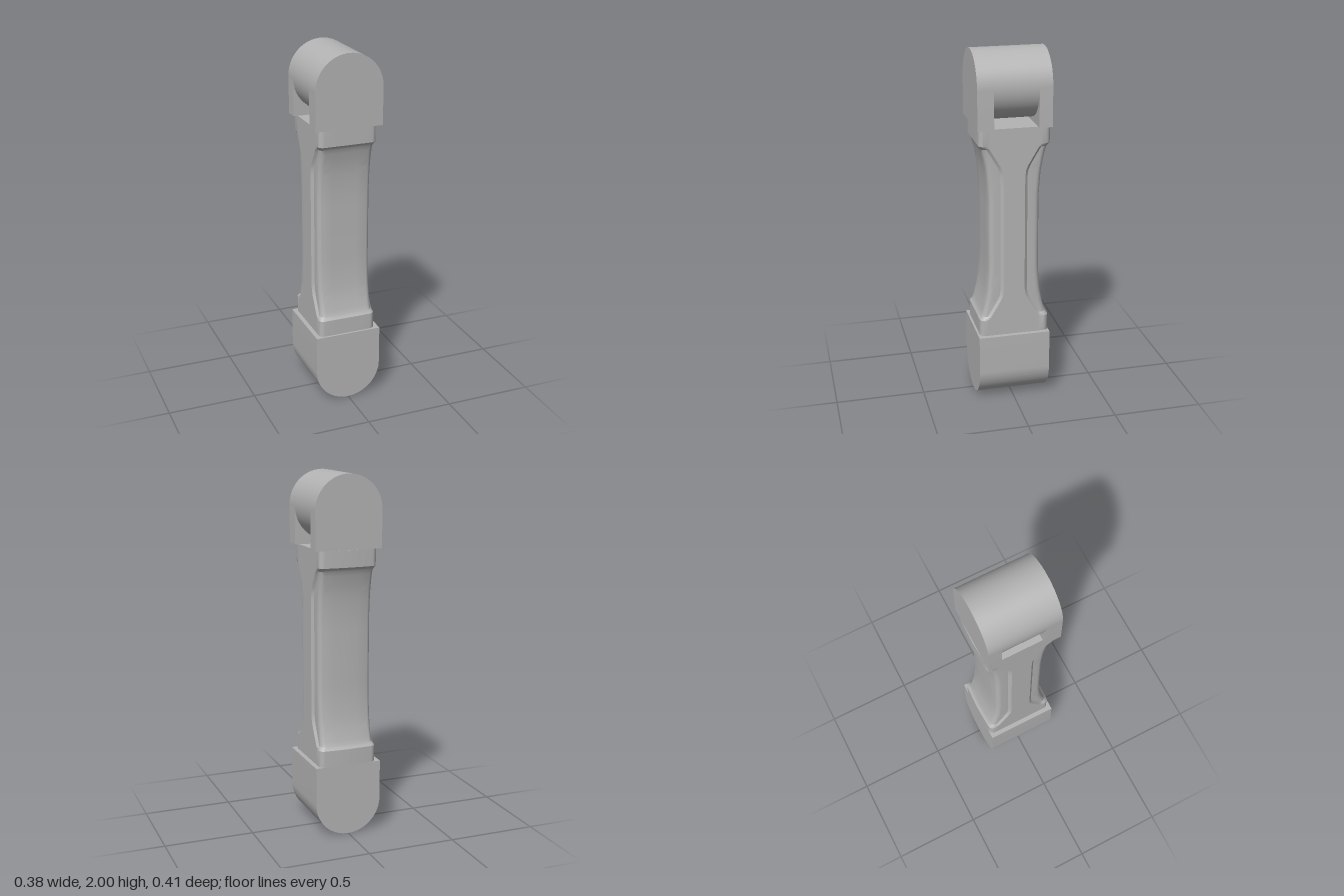
import * as THREE from 'three';
import { toCreasedNormals } from 'three/addons/utils/BufferGeometryUtils.js';

const R = 0.19, MID = 1.0025, FRONT = 0.204, BACK = -0.2;

// D-shaped slab, rounded upwards, running from z0 to z1
function roundedSlab(z0, z1, drop) {
  const s = new THREE.Shape();
  s.moveTo(-R, -drop);
  s.lineTo(R, -drop);
  s.lineTo(R, 0);
  s.absarc(0, 0, R, 0, Math.PI, false);
  s.closePath();
  const g = new THREE.ExtrudeGeometry(s, { depth: z1 - z0, bevelEnabled: false, curveSegments: 48 });
  g.translate(0, 0, z0);
  return toCreasedNormals(g, 0.4);
}

// One horizontal section of the arm: side band, stepped-in panel and rounded corners
function section(inset, band, step) {
  const r = 0.03;
  const quarter = (half, crown) => {
    const zf = half - inset, w = 0.165 - step;
    const p = [[0.165, 0], [0.165, band - 0.01], [0.165, band], [w, band + 0.016]];
    for (let i = 0; i <= 6; i++) {
      const a = (i / 6) * Math.PI / 2;
      p.push([w - r + r * Math.cos(a), zf - r + r * Math.sin(a)]);
    }
    p.push([0.07, zf + crown * 0.6], [0, zf + crown]);
    return p;
  };
  const f = quarter(0.192, 0), b = quarter(0.199, 0.006);
  return [
    ...f,
    ...f.slice(0, -1).reverse().map(([x, z]) => [-x, z]),
    ...b.slice(1).map(([x, z]) => [-x, -z]),
    ...b.slice(1, -1).reverse().map(([x, z]) => [x, -z]),
  ];
}

// Arm lofted through sections mirrored above and below the middle
function armGeometry() {
  // distance from middle, waist inset, half width of side band, panel step
  const half = [
    [0.5975, 0, 0.145, 0], [0.505, 0, 0.145, 0], [0.495, 0.008, 0.14, 0.004],
    [0.485, 0.014, 0.133, 0.011], [0.46, 0.021, 0.118, 0.013], [0.42, 0.031, 0.094, 0.013],
    [0.385, 0.038, 0.074, 0.013], [0.36, 0.042, 0.064, 0.013], [0.33, 0.046, 0.06, 0.013],
    [0.28, 0.05, 0.059, 0.013], [0.22, 0.054, 0.059, 0.013], [0.15, 0.055, 0.059, 0.013],
  ];
  const levels = [
    ...half.map(([t, ...v]) => [MID - t, ...v]),
    ...half.slice().reverse().map(([t, ...v]) => [MID + t, ...v]),
  ];
  const pos = [], idx = [];
  let n = 0;
  for (const [y, inset, band, step] of levels) {
    const ring = section(inset, band, step);
    n = ring.length;
    for (const [x, z] of ring) pos.push(x, y, z);
  }
  const last = (levels.length - 1) * n, c = levels.length * n;
  pos.push(0, levels[0][0], 0, 0, levels[levels.length - 1][0], 0);
  for (let i = 0; i < n; i++) {
    const j = (i + 1) % n;
    for (let k = 0; k < levels.length - 1; k++) {
      const a = k * n + i, b = k * n + j;
      idx.push(a, a + n, b, b, a + n, b + n);
    }
    idx.push(c, i, j, c + 1, last + j, last + i);
  }
  const g = new THREE.BufferGeometry();
  g.setAttribute('position', new THREE.Float32BufferAttribute(pos, 3));
  g.setIndex(idx);
  return toCreasedNormals(g, 0.45);
}

export function createModel() {
  const group = new THREE.Group();
  group.name = 'armLink';
  const grey = new THREE.MeshStandardMaterial({ color: 0xb4b4b4 });
  grey.name = 'grey';
  const add = (name, geometry, y = 0) => {
    const m = new THREE.Mesh(geometry, grey);
    m.name = name;
    m.position.y = y;
    group.add(m);
    return m;
  };

  add('arm', armGeometry());

  // Solid lower joint, rounded downwards
  add('lowerJoint', roundedSlab(BACK, FRONT, 0.215), R).rotation.z = Math.PI;

  // Upper joint: two square-footed ears around a round barrel
  add('frontEar', roundedSlab(0.115, FRONT, 0.21), 2 - R);
  add('backEar', roundedSlab(BACK, -0.128, 0.21), 2 - R);
  const barrel = new THREE.CylinderGeometry(R, R, 0.243, 96, 1, true);
  barrel.rotateX(Math.PI / 2);
  barrel.translate(0, 0, -0.0065);
  add('barrel', barrel, 2 - R);

  return group;
}
